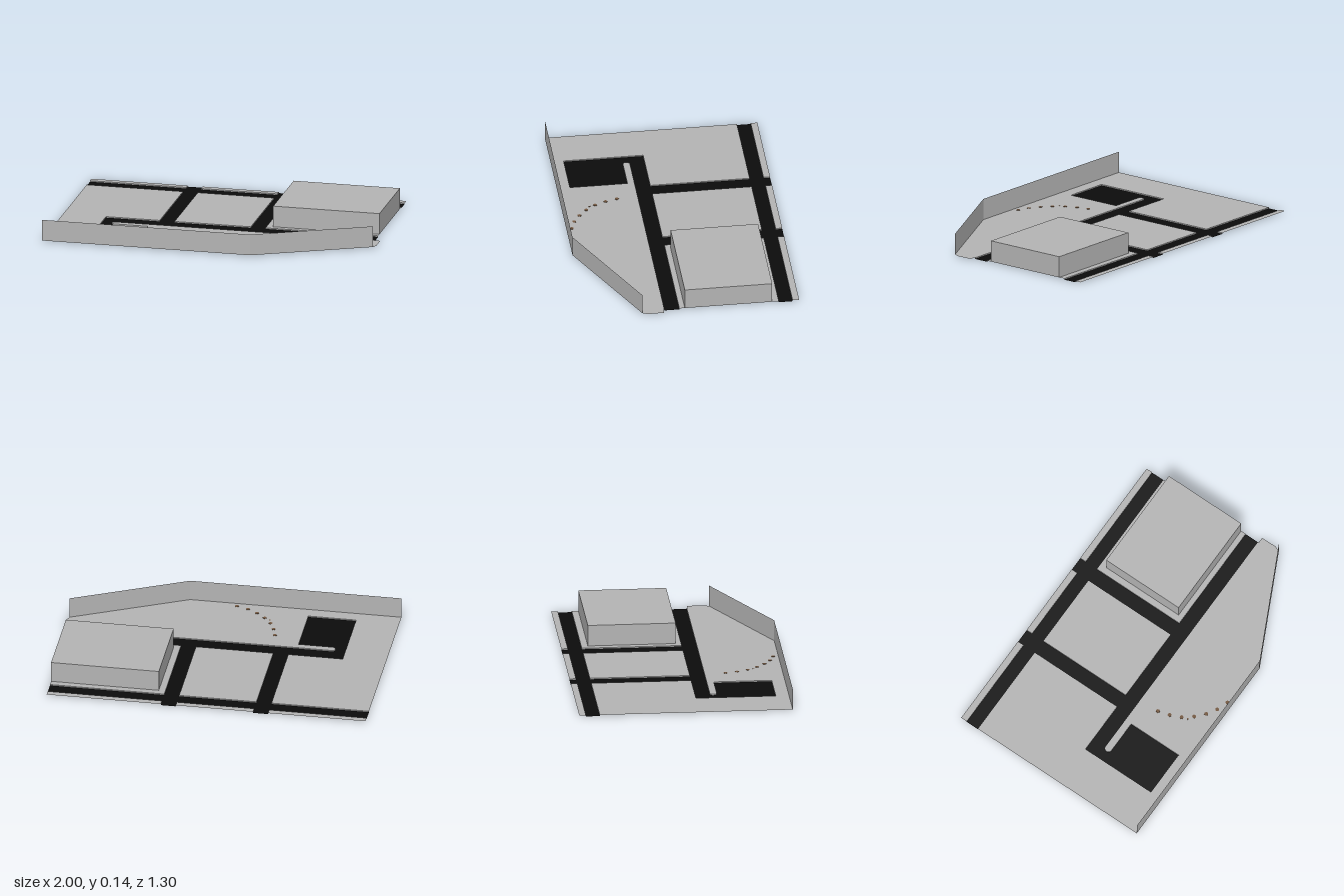
import * as THREE from 'three';

const GROUND = 0.007, TOP = 0.138;

// Flat horizontal plate from [x, z] corners
function plate(points, y) {
  const shape = new THREE.Shape(points.map(([x, z]) => new THREE.Vector2(x, -z)));
  return new THREE.ShapeGeometry(shape).rotateX(-Math.PI / 2).translate(0, y, 0);
}

// Upright strip that follows [x, z] points
function ribbon(points, y0, y1) {
  const pos = [];
  for (let i = 0; i < points.length - 1; i++) {
    const [ax, az] = points[i], [bx, bz] = points[i + 1];
    pos.push(ax, y0, az, bx, y0, bz, bx, y1, bz, ax, y0, az, bx, y1, bz, ax, y1, az);
  }
  const g = new THREE.BufferGeometry();
  g.setAttribute('position', new THREE.Float32BufferAttribute(pos, 3));
  g.computeVertexNormals();
  return g;
}

const rect = (x0, x1, z0, z1) => [[x0, z0], [x0, z1], [x1, z1], [x1, z0]];

export function createModel() {
  const model = new THREE.Group();
  const make = (name, color) => {
    const m = new THREE.MeshStandardMaterial({ color, side: THREE.DoubleSide });
    m.name = name;
    return m;
  };
  const grey = make('concreteGrey', 0xb4b4b4);
  const black = make('asphaltBlack', 0x0c0c0c);
  const brown = make('markerBrown', 0x73573f);
  const add = (name, geometry, material) => {
    const mesh = new THREE.Mesh(geometry, material);
    mesh.name = name;
    model.add(mesh);
    return mesh;
  };

  // Main grid lines of the plan
  const L = -1, R = 0.963, back = -0.65, front = 0.65;
  const rb0 = -0.61, rb1 = -0.525;          // back road
  const rf0 = 0.083, rf1 = 0.175;           // front road
  const cross = [[-0.4, -0.307], [0.168, 0.26]];
  const [[a0, a1], [b0, b1]] = cross;
  const lotL = -0.735, lotR = -0.44, lotZ = 0.57, spitZ = 0.217;

  // Rounded tip of the divider between front road and parking lot
  const tip = [];
  const r = (spitZ - rf1) / 2;
  for (let i = 0; i <= 8; i++) {
    const a = Math.PI * i / 8;
    tip.push([-0.65 - r * Math.sin(a), (rf1 + spitZ) / 2 + r * Math.cos(a)]);
  }
  const lotEdge = [[a0, rb1], [a0, rf0], [lotL, rf0], [lotL, lotZ], [lotR, lotZ], [lotR, spitZ], ...tip, [R, rf1]];

  // Ground
  add('mainGround', plate([[L, rb1], ...lotEdge, [R, 0.18], [0.998, 0.18], [1, 0.28],
    [0.985, 0.313], [0.3, front], [L, front]], GROUND), grey);
  add('middleGround', plate(rect(a1, b0, rb1, rf0), GROUND), grey);
  const hx = 0.3, hz0 = -0.485, hz1 = 0.05;
  add('buildingGround', plate([[b1, rb1], [b1, rf0], [R, rf0], [R, hz1], [hx, hz1],
    [hx, hz0], [R, hz0], [R, rb1]], GROUND), grey);
  for (const [x0, x1] of [[L, a0], [a1, b0], [b1, R]])
    add('backVerge', plate(rect(x0, x1, back, rb0), GROUND), grey);

  // Roads, slightly sunken
  add('backRoad', plate(rect(L, R, rb0, rb1), 0), black);
  for (const [x0, x1] of cross) {
    add('crossRoad', plate(rect(x0, x1, rb1, rf0), 0), black);
    add('crossRoadEnd', plate(rect(x0, x1, back, rb0), 0), black);
  }
  add('frontRoadAndLot', plate([[lotL, rf0], [lotL, lotZ], [lotR, lotZ], [lotR, spitZ],
    ...tip, [R, rf1], [R, rf0]], 0), black);

  // Curbs between ground and roads
  const curbs = [
    [[L, rb1], ...lotEdge],
    [...rect(a1, b0, rb1, rf0), [a1, rb1]],
    [[R, rb1], [b1, rb1], [b1, rf0], [R, rf0]],
    [[L, rb0], [a0, rb0], [a0, back]],
    [[a1, back], [a1, rb0], [b0, rb0], [b0, back]],
    [[b1, back], [b1, rb0], [R, rb0]],
  ];
  for (const c of curbs) add('curb', ribbon(c, 0, GROUND), grey);

  // Hollow building, open below
  const base = rect(hx, R, hz0, hz1);
  add('buildingWalls', ribbon([...base, base[0]], GROUND, TOP), grey);
  add('buildingRoof', plate(base, TOP), grey);

  // Boundary wall along the front
  add('boundaryWall', ribbon([[L, front], [0.3, front], [0.985, 0.313]], GROUND, TOP), grey);

  // Curved row of small markers
  const dots = [[-0.28, 0.303], [-0.26, 0.375], [-0.23, 0.443], [-0.183, 0.503],
    [-0.127, 0.553], [-0.065, 0.592], [0.007, 0.617]];
  for (const [x, z] of dots)
    add('marker', new THREE.CylinderGeometry(0.012, 0.012, 0.004, 8).translate(x, GROUND, z), brown);
  add('smallMarker', new THREE.CylinderGeometry(0.006, 0.006, 0.004, 6).translate(-0.218, GROUND, 0.48), brown);

  return model;
}
